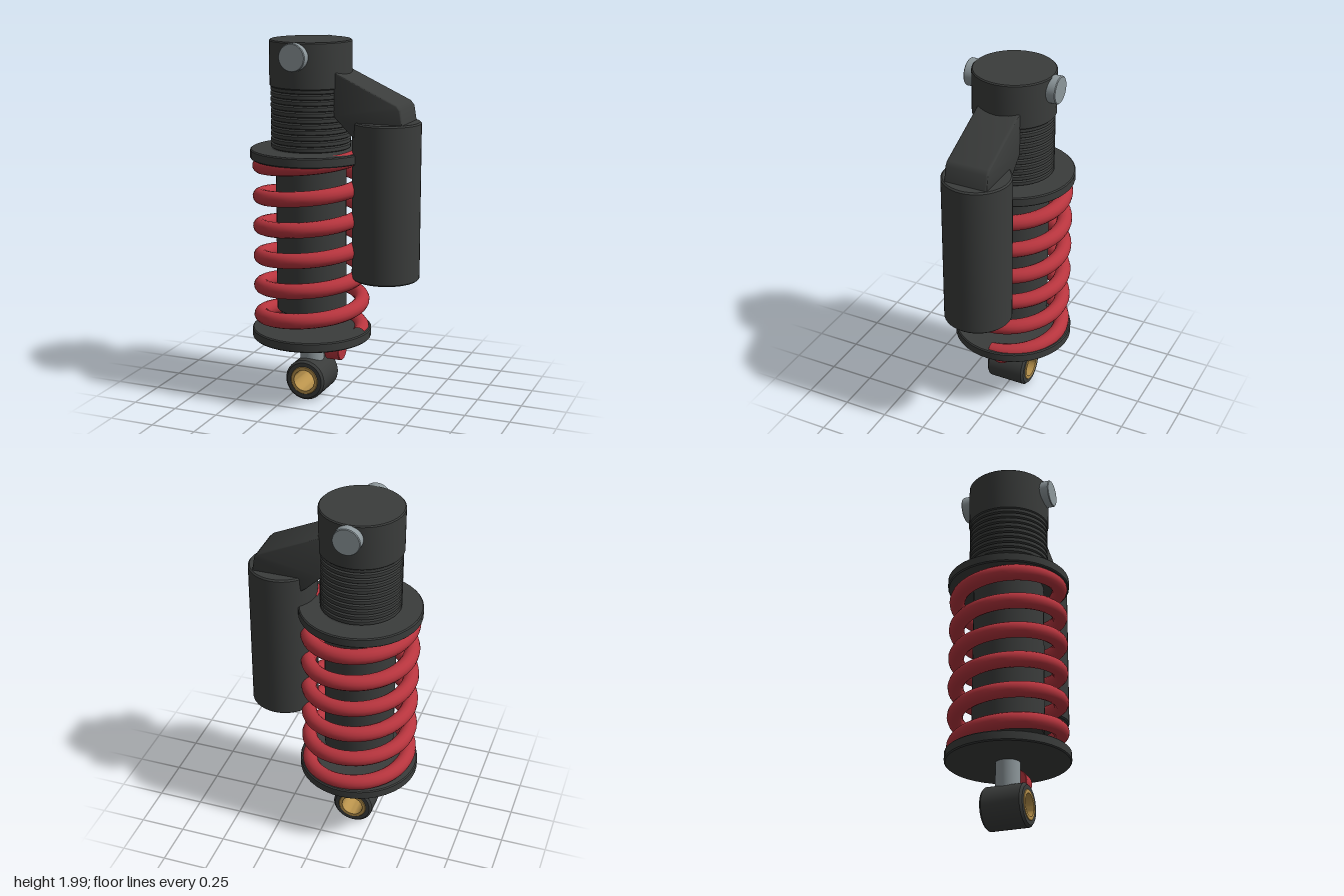
import * as THREE from 'three';
import { toCreasedNormals } from 'three/addons/utils/BufferGeometryUtils.js';

const AXIS = -0.145; // x of the damper's centre line
const mat = (color) => new THREE.MeshStandardMaterial({ color });
const dark = mat(0x3a3c3b), red = mat(0xb8353e), steel = mat(0x8d979b), brass = mat(0xb8924c);

// Revolved profile of [radius, height] pairs, with crisp edges
function lathe(points, segments = 40) {
  const geo = new THREE.LatheGeometry(points.map(([r, y]) => new THREE.Vector2(r, y)), segments);
  return toCreasedNormals(geo, 0.6);
}

// Solid cylinder with a small chamfer on both rims
function rod(r, y0, y1, b = 0.006, segments = 40) {
  return lathe([[0, y0], [r - b, y0], [r, y0 + b], [r, y1 - b], [r - b, y1], [0, y1]], segments);
}

// Hollow ring, half-length h, with chamfered outer rims
function ring(outer, inner, h, b) {
  return lathe([[inner, -h], [outer - b, -h], [outer, -h + b], [outer, h - b],
    [outer - b, h], [inner, h], [inner, -h]]);
}

// Spring path: rises as it turns from left across the front to the right
class Helix extends THREE.Curve {
  constructor(radius, y0, y1, turns) {
    super();
    Object.assign(this, { radius, y0, y1, turns });
  }
  getPoint(t, target = new THREE.Vector3()) {
    const a = -t * this.turns * Math.PI * 2;
    return target.set(this.radius * Math.cos(a), this.y0 + (this.y1 - this.y0) * t, this.radius * Math.sin(a));
  }
}

export function createModel() {
  const model = new THREE.Group();
  model.name = 'shockAbsorber';
  const add = (name, geo, material, x = AXIS, y = 0, z = 0) => {
    const mesh = new THREE.Mesh(geo, material);
    mesh.name = name;
    mesh.position.set(x, y, z);
    model.add(mesh);
    return mesh;
  };

  // Damper body, top cap and shaft
  add('topCap', rod(0.222, 1.752, 2), dark);
  add('damperBody', rod(0.192, 0.515, 1.42), dark);
  add('shaft', rod(0.065, 0.2, 0.53, 0.002, 32), steel);

  // Threaded sleeve with stacked ridges
  const thread = [[0, 1.39]];
  const ridges = 12, pitch = 0.37 / ridges;
  for (let i = 0; i < ridges; i++) {
    const y = 1.39 + i * pitch;
    thread.push([0.207, y], [0.216, y + 0.006], [0.216, y + pitch - 0.006], [0.207, y + pitch]);
  }
  thread.push([0, 1.76]);
  add('threadedSleeve', lathe(thread), dark);

  // Spring seats and coil
  add('upperSpringSeat', rod(0.33, 1.362, 1.416), dark);
  add('lowerSpringSeat', rod(0.33, 0.358, 0.412), dark);
  add('coilSpring', new THREE.TubeGeometry(new Helix(0.278, 0.388, 1.394, 6), 288, 0.042, 14), red);

  // Mounting pins on the front and back of the cap
  for (const side of [1, -1]) {
    const pin = add(side > 0 ? 'frontPin' : 'backPin', rod(0.074, 0, 0.11, 0.004, 32), steel, AXIS, 1.925, side * 0.15);
    pin.rotation.x = side * Math.PI / 2;
  }

  // Lower eye with its bushing
  add('lowerEye', ring(0.114, 0.078, 0.115, 0.012), dark, AXIS, 0.121).rotation.x = Math.PI / 2;
  add('eyeBushing', ring(0.08, 0.06, 0.118, 0.003), brass, AXIS, 0.121).rotation.x = Math.PI / 2;

  // Adjuster knob beside the shaft
  add('adjusterKnob', rod(0.065, -0.043, 0.043, 0.003, 32), red, -0.003, 0.295).rotation.z = Math.PI / 2;

  // Reservoir and the sloping bracket that carries it
  add('reservoir', rod(0.183, 0.73, 1.585, 0.008), dark, 0.288);
  const b = 0.014;
  const outline = [[0.04, 1.835], [0.375, 1.68], [0.392, 1.66], [0.408, 1.57],
    [0.155, 1.57], [0.143, 1.515], [0.125, 1.53], [0.04, 1.615]];
  const bracket = new THREE.ExtrudeGeometry(
    new THREE.Shape(outline.map(([x, y]) => new THREE.Vector2(x, y))),
    { depth: 0.24 - 2 * b, bevelThickness: b, bevelSize: b * 0.7, bevelSegments: 3 });
  bracket.translate(0, 0, -0.12 + b);
  add('reservoirBracket', toCreasedNormals(bracket, 0.6), dark, 0);

  return model;
}
